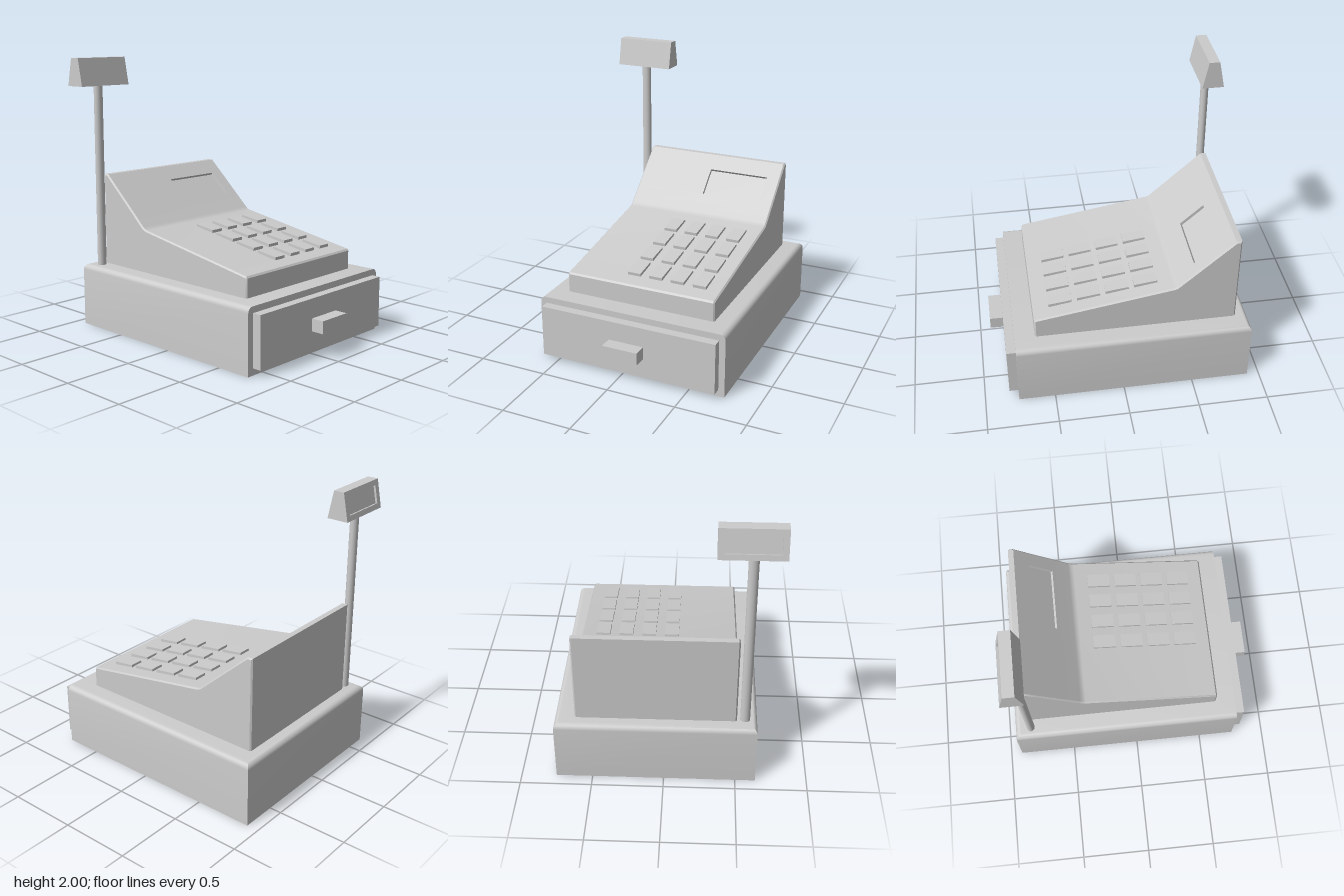
import * as THREE from 'three';
import { toCreasedNormals } from 'three/addons/utils/BufferGeometryUtils.js';

const material = new THREE.MeshStandardMaterial({ color: 0xcccccc });

function addMesh(parent, name, geometry, x = 0, y = 0, z = 0) {
  const mesh = new THREE.Mesh(geometry, material);
  mesh.name = name;
  mesh.position.set(x, y, z);
  parent.add(mesh);
  return mesh;
}

// Box given by its limits on each axis
function addBox(parent, name, [x0, x1], [y0, y1], [z0, z1]) {
  return addMesh(parent, name, new THREE.BoxGeometry(x1 - x0, y1 - y0, z1 - z0),
    (x0 + x1) / 2, (y0 + y1) / 2, (z0 + z1) / 2);
}

// Outward unit normal of the edge p -> q in a counter-clockwise (z, y) profile
const edgeNormal = (p, q) => new THREE.Vector2(q.y - p.y, p.x - q.x).normalize();

// Shrink a profile evenly by d
function inset(points, d) {
  const n = points.length;
  return points.map((p, i) => {
    const a = edgeNormal(points[(i + n - 1) % n], p);
    const b = edgeNormal(p, points[(i + 1) % n]);
    return p.clone().addScaledVector(a.clone().add(b), -d / (1 + a.dot(b)));
  });
}

// Sweep a (z, y) profile along x, with chamfered ends and a rectangular
// window sunk into one of its edges
function recessedPrism(profile, [x0, x1], bevel, win) {
  const base = profile.map(([z, y]) => new THREE.Vector2(z, y));
  const section = (pts, depth) => {
    const p = pts[win.edge], q = pts[win.edge + 1];
    const inward = edgeNormal(p, q).multiplyScalar(-depth);
    const lip = win.t.map((t) => p.clone().lerp(q, t));
    const floor = lip.map((v) => v.clone().add(inward));
    return [...pts.slice(0, win.edge + 1), lip[0], ...floor, lip[1], ...pts.slice(win.edge + 1)];
  };
  const ends = inset(base, bevel);
  const plain = section(base, 0), sunk = section(base, win.depth), end = section(ends, 0);
  const rows = [
    [x0, end], [x0 + bevel, plain], [win.x[0], plain], [win.x[0], sunk],
    [win.x[1], sunk], [win.x[1], plain], [x1 - bevel, plain], [x1, end],
  ];

  const pos = [];
  const triangle = (a, b, c) => {
    const area = b.clone().sub(a).cross(c.clone().sub(a)).length();
    if (area > 1e-9) for (const v of [a, b, c]) pos.push(v.x, v.y, v.z);
  };
  const at = ([x, pts], j) => {
    const p = pts[j % pts.length];
    return new THREE.Vector3(x, p.y, p.x);
  };
  for (let i = 0; i + 1 < rows.length; i++) {
    for (let j = 0; j < plain.length; j++) {
      const a = at(rows[i], j), b = at(rows[i + 1], j);
      const c = at(rows[i + 1], j + 1), d = at(rows[i], j + 1);
      triangle(a, b, c);
      triangle(a, c, d);
    }
  }
  // End caps
  for (const [a, b, c] of THREE.ShapeUtils.triangulateShape(ends, [])) {
    triangle(at([x0, ends], a), at([x0, ends], b), at([x0, ends], c));
    triangle(at([x1, ends], c), at([x1, ends], b), at([x1, ends], a));
  }
  const geometry = new THREE.BufferGeometry();
  geometry.setAttribute('position', new THREE.Float32BufferAttribute(pos, 3));
  geometry.computeVertexNormals();
  return toCreasedNormals(geometry, 0.6);
}

// Cabinet whose top edge is rounded at the sides and back
function cabinetGeometry(w, h, d, r) {
  const steps = 6;
  const geometry = new THREE.BoxGeometry(w, h, d, 1, steps + 1, 1);
  const p = geometry.attributes.position;
  for (let i = 0; i < p.count; i++) {
    const row = Math.round((p.getY(i) / h + 0.5) * (steps + 1));
    if (row === 0) continue;
    const angle = ((row - 1) / steps) * Math.PI / 2;
    const shrink = r * (1 - Math.cos(angle));
    p.setY(i, h / 2 - r + r * Math.sin(angle));
    p.setX(i, p.getX(i) - Math.sign(p.getX(i)) * shrink);
    if (p.getZ(i) < 0) p.setZ(i, p.getZ(i) + shrink);
  }
  return toCreasedNormals(geometry, 0.6);
}

export function createModel() {
  const model = new THREE.Group();
  model.name = 'cashRegister';

  // Base cabinet with cash drawer
  addMesh(model, 'baseCabinet', cabinetGeometry(1.395, 0.465, 1.675, 0.04), 0.057, 0.2325, -0.0775);
  const drawer = new THREE.Group();
  drawer.name = 'drawer';
  model.add(drawer);
  addBox(drawer, 'drawerFront', [-0.595, 0.71], [0.05, 0.42], [0.75, 0.825]);
  addBox(drawer, 'drawerHandle', [-0.073, 0.187], [0.19, 0.28], [0.82, 0.92]);

  // Sloped housing with a sunken display
  const housing = [
    [0.615, 0.45], [0.615, 0.6], [0.605, 0.613], [-0.365, 0.776], [-0.387, 0.783], [-0.405, 0.798],
    [-0.785, 1.14], [-0.825, 1.14], [-0.825, 0.45],
  ];
  addMesh(model, 'housing', recessedPrism(housing, [-0.5, 0.615], 0.01,
    { edge: 5, t: [0.31, 0.74], x: [0.05, 0.51], depth: 0.022 }));

  // Keypad following the front slope
  const keypad = new THREE.Group();
  keypad.name = 'keypad';
  model.add(keypad);
  const keyGeometry = new THREE.BoxGeometry(0.097, 0.04, 0.166);
  for (let row = 0; row < 4; row++) {
    for (let col = 0; col < 4; col++) {
      const z = 0.42 - row * 0.2027;
      const key = addMesh(keypad, 'key', keyGeometry, -0.034 + col * 0.164, 0.714 - z * 0.168, z);
      key.rotation.x = 0.135;
    }
  }

  // Pole and customer display, its window facing back
  const pole = addMesh(model, 'pole', new THREE.CylinderGeometry(0.034, 0.034, 1.36, 24), -0.556, 1.13, -0.8);
  pole.scale.z = 0.86;
  const head = [[-0.725, 1.8], [-0.765, 2], [-0.842, 2], [-0.882, 1.8]];
  addMesh(model, 'customerDisplay', recessedPrism(head, [-0.76, -0.33], 0,
    { edge: 2, t: [0.19, 0.81], x: [-0.72, -0.37], depth: 0.015 }));

  return model;
}
